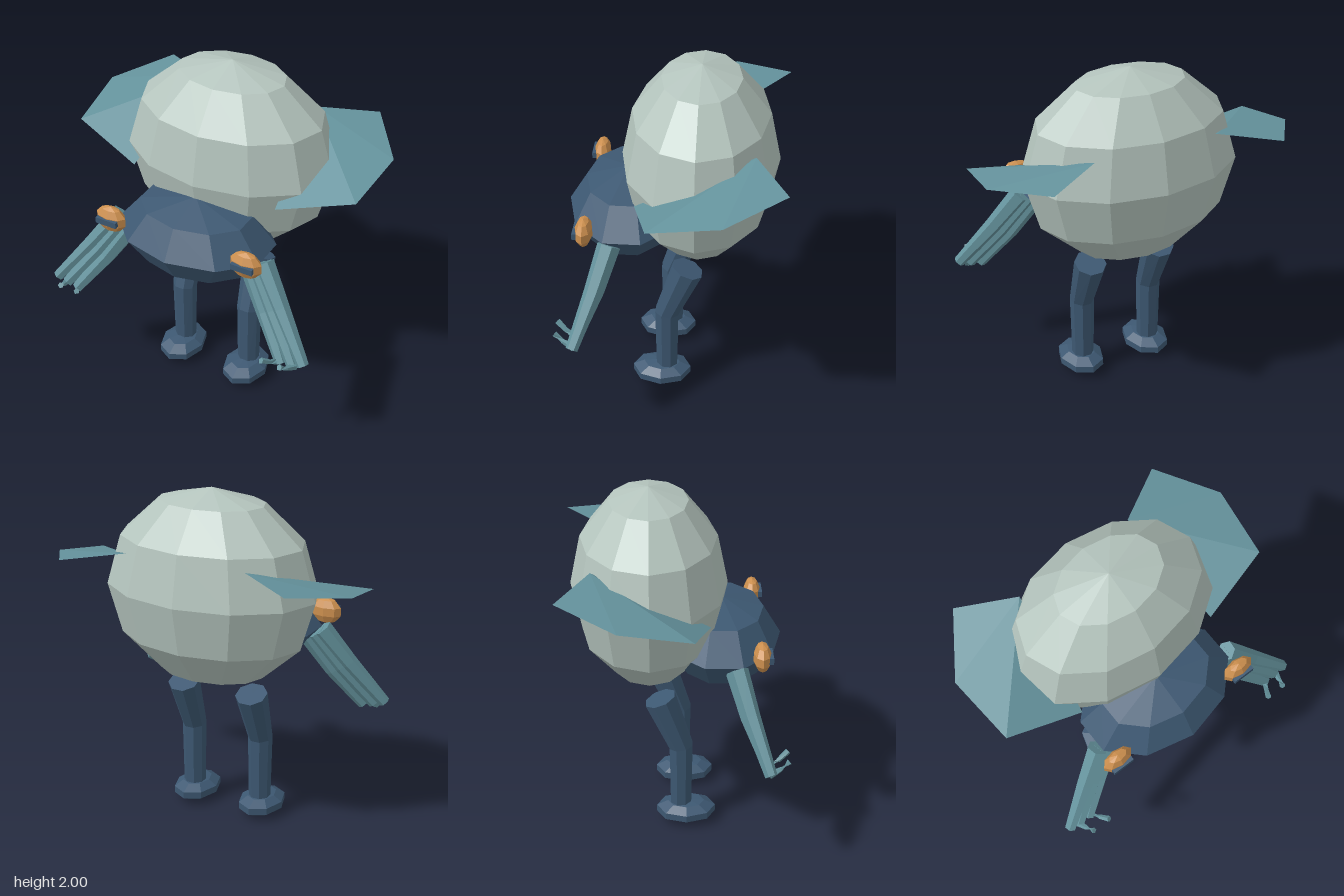
import * as THREE from 'three';

const mat = (name, color, extra = {}) => Object.assign(new THREE.MeshStandardMaterial({ color, ...extra }), { name });

// Split faces so every facet gets its own flat normal
function facet(geometry) {
  const g = geometry.index ? geometry.toNonIndexed() : geometry;
  g.computeVertexNormals();
  return g;
}

function ellipsoid(rx, ry, rz, across, down, turn = 0) {
  return facet(new THREE.SphereGeometry(1, across, down).rotateY(turn).scale(rx, ry, rz));
}

// Capped faceted tube through points, with one radius per point
function limb(points, radii, sides) {
  const pts = points.map(p => new THREE.Vector3(...p));
  const pos = [], index = [], n = pts.length;
  pts.forEach((p, k) => {
    const t = pts[Math.min(k + 1, n - 1)].clone().sub(pts[Math.max(k - 1, 0)]).normalize();
    const ref = Math.abs(t.z) > 0.8 ? new THREE.Vector3(0, 1, 0) : new THREE.Vector3(0, 0, 1);
    const u = ref.cross(t).normalize(), v = t.clone().cross(u);
    for (let j = 0; j < sides; j++) {
      const a = (j + 0.5) / sides * Math.PI * 2;
      pos.push(...p.clone().addScaledVector(u, radii[k] * Math.cos(a)).addScaledVector(v, radii[k] * Math.sin(a)).toArray());
    }
  });
  const first = n * sides, last = first + 1, end = (n - 1) * sides;
  pos.push(...pts[0].toArray(), ...pts[n - 1].toArray());
  for (let j = 0; j < sides; j++) {
    const m = (j + 1) % sides;
    for (let k = 0; k < n - 1; k++) {
      const a = k * sides + j, b = k * sides + m;
      index.push(a, b, b + sides, a, b + sides, a + sides);
    }
    index.push(first, m, j, last, end + j, end + m);
  }
  const g = new THREE.BufferGeometry();
  g.setAttribute('position', new THREE.Float32BufferAttribute(pos, 3));
  g.setIndex(index);
  return facet(g);
}

export function createModel() {
  const model = new THREE.Group();
  model.name = 'creature';
  const pale = mat('paleGreyGreen', 0xb4c4bd);
  const navy = mat('navy', 0x3d5872);
  const teal = mat('teal', 0x64929c);
  const wingTeal = mat('wingTeal', 0x64929c, { side: THREE.DoubleSide });
  const orange = mat('orange', 0xcc8f4e);

  const add = (parent, name, geometry, material, x = 0, y = 0, z = 0) => {
    const m = new THREE.Mesh(geometry, material);
    m.name = name;
    m.position.set(x, y, z);
    parent.add(m);
  };

  // Large shell body and wide head
  add(model, 'body', ellipsoid(0.63, 0.565, 0.44, 12, 6), pale, 0, 1.435, -0.14);
  add(model, 'head', ellipsoid(0.47, 0.23, 0.34, 10, 4, Math.PI / 2), navy, 0, 1.12, 0.265);

  for (const s of [1, -1]) {
    const side = s > 0 ? 'left' : 'right';

    // Eye with a slit pupil
    add(model, side + 'Eye', ellipsoid(0.098, 0.08, 0.05, 8, 5), orange, s * 0.425, 1.18, 0.47);
    add(model, side + 'Pupil', new THREE.BoxGeometry(0.13, 0.035, 0.06), navy, s * 0.425, 1.183, 0.498);

    // Leg and foot
    add(model, side + 'Leg', limb([[s * 0.22, 0.81, -0.083], [s * 0.22, 0.5, 0.037], [s * 0.22, 0.09, 0.037]],
      [0.094, 0.072, 0.064], 8), navy);
    add(model, side + 'Foot', ellipsoid(0.136, 0.065, 0.18, 8, 5), navy, s * 0.22, 0.067, 0.067);

    // Arm: three fused strands fanning out into the hand
    const arm = new THREE.Group();
    arm.name = side + 'Arm';
    for (const i of [-1, 0, 1]) {
      add(arm, 'armStrand', limb([
        [s * (0.42 + i * 0.04), 1.09 + i * 0.025, 0.335],
        [s * (0.56 + i * 0.048), 0.88 + i * 0.03, 0.405],
        [s * (0.735 + i * 0.066), 0.64 + i * 0.018, 0.505],
      ], [0.06, 0.05, 0.034], 6), teal);
    }
    // Two small forward claws
    for (const [x, tip] of [[0.66, 0.6], [0.75, 0.71]]) {
      add(arm, 'claw', limb([[s * x, 0.63, 0.5], [s * (x * 0.5 + tip * 0.5), 0.655, 0.56], [s * tip, 0.69, 0.61]],
        [0.022, 0.014, 0.018], 5), teal);
    }
    model.add(arm);

    // Thin folded wing, fanned from its rear root
    const wing = new THREE.BufferGeometry();
    const corners = [[0.365, 1.655, -0.45], [0.445, 1.37, 0.19], [0.866, 1.49, 0.09], [0.905, 1.56, -0.3], [0.676, 1.62, -0.627]];
    wing.setAttribute('position', new THREE.Float32BufferAttribute(corners.flatMap(([x, y, z]) => [s * x, y, z]), 3));
    wing.setIndex(s > 0 ? [0, 1, 2, 0, 2, 3, 0, 3, 4] : [0, 2, 1, 0, 3, 2, 0, 4, 3]);
    add(model, side + 'Wing', facet(wing), wingTeal);
  }
  return model;
}
